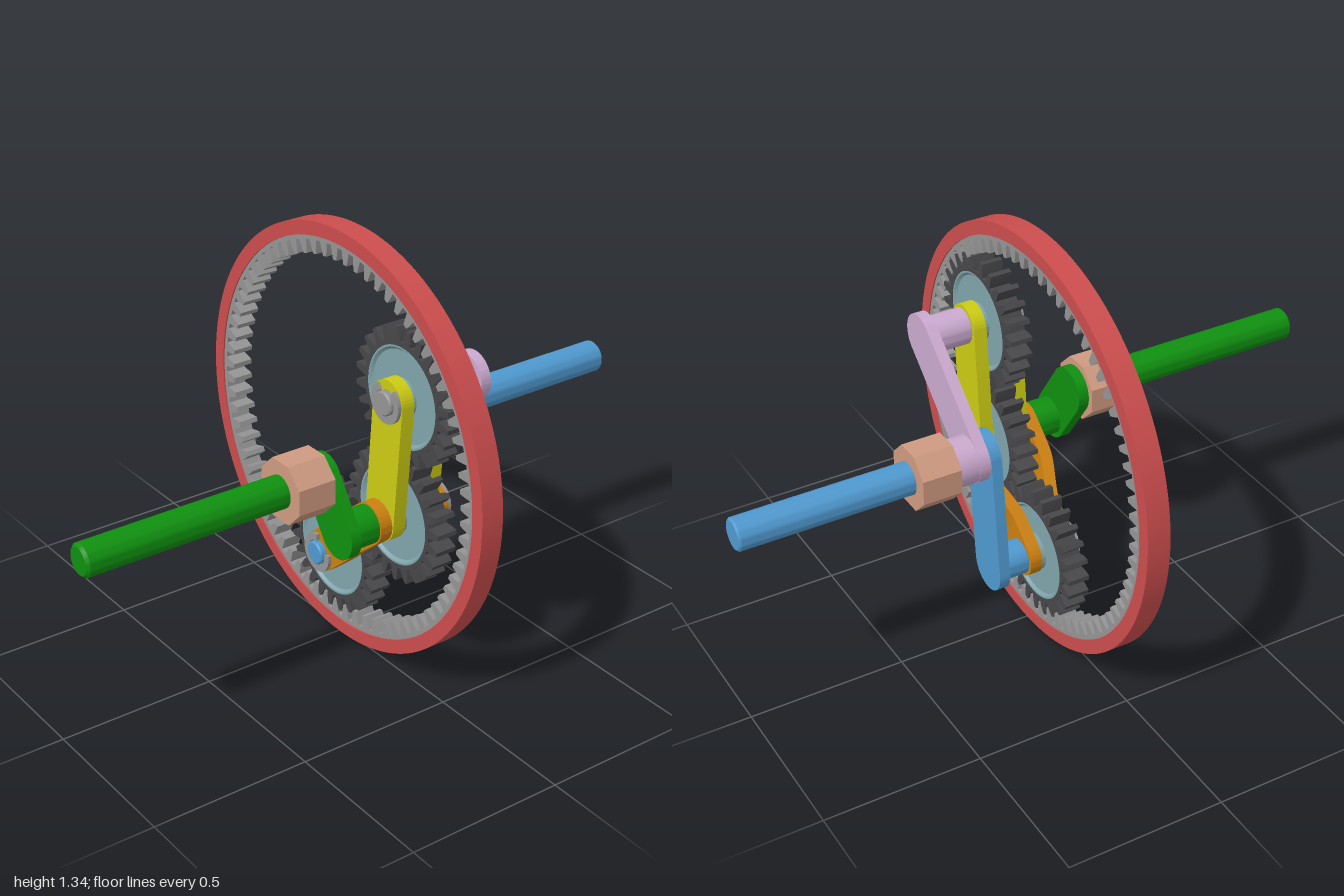
import * as THREE from 'three';
import { toCreasedNormals } from 'three/addons/utils/BufferGeometryUtils.js';

const paint = (name, color) => {
  const m = new THREE.MeshStandardMaterial({ color });
  m.name = name;
  return m;
};

const RAD = Math.PI / 180;
const MID = -0.02; // centre plane of the gears

export function createModel() {
  const red = paint('rim red', 0xcc4d4d);
  const grey = paint('steel grey', 0x949494);
  const dark = paint('gear charcoal', 0x47474a);
  const teal = paint('web teal', 0x80a5ac);
  const yellow = paint('link yellow', 0xcccc14);
  const orange = paint('link orange', 0xcc800f);
  const blue = paint('shaft blue', 0x4f99cf);
  const green = paint('shaft green', 0x0f900f);
  const pink = paint('crank pink', 0xcba9cf);
  const copper = paint('nut copper', 0xcf9a80);

  const model = new THREE.Group();
  model.name = 'planetaryMechanism';

  const add = (name, geo, mat, x = 0, y = 0, z = 0, crease = 0.5) => {
    const mesh = new THREE.Mesh(toCreasedNormals(geo, crease), mat);
    mesh.name = name;
    mesh.position.set(x, y, z);
    model.add(mesh);
    return mesh;
  };
  const extrude = (shape, depth) =>
    new THREE.ExtrudeGeometry(shape, { depth, bevelEnabled: false, curveSegments: 48 });
  const circle = (r) => new THREE.Shape().absarc(0, 0, r, 0, Math.PI * 2, false);

  // Round bar along z with small chamfers at both ends
  const bar = (name, [x, y], r, z0, z1, mat, c = 0.005) => {
    const pts = [[0, z0], [r - c, z0], [r, z0 + c], [r, z1 - c], [r - c, z1], [0, z1]];
    const geo = new THREE.LatheGeometry(pts.map((p) => new THREE.Vector2(...p)), 40);
    add(name, geo.rotateX(Math.PI / 2), mat, x, y);
  };

  // Flat arm with rounded ends between two pivots
  const arm = (name, p, q, r, z0, z1, mat) => {
    const len = Math.hypot(q[0] - p[0], q[1] - p[1]);
    const s = new THREE.Shape();
    s.absarc(0, 0, r, Math.PI / 2, Math.PI * 1.5, false);
    s.absarc(len, 0, r, -Math.PI / 2, Math.PI / 2, false);
    const mesh = add(name, extrude(s, z1 - z0), mat, p[0], p[1], z0);
    mesh.rotation.z = Math.atan2(q[1] - p[1], q[0] - p[0]);
  };

  // Toothed outline: rows of [radius, half width as fraction of pitch]
  const teeth = (path, n, phase, rTip, rRoot, wTip, wRoot) => {
    const pitch = (Math.PI * 2) / n;
    const rMid = (rTip + rRoot) / 2;
    const wMid = wTip * 0.4 + wRoot * 0.6;
    const pts = [];
    for (let i = 0; i < n; i++) {
      for (const [r, f] of [[rRoot, -wRoot], [rMid, -wMid], [rTip, -wTip],
        [rTip, wTip], [rMid, wMid], [rRoot, wRoot]]) {
        const a = phase + (i + f) * pitch;
        pts.push(new THREE.Vector2(r * Math.cos(a), r * Math.sin(a)));
      }
    }
    return path.setFromPoints(pts);
  };

  const hub = [0, 0.67];          // main axis
  const offAxis = [0.166, 0.675]; // green shaft axis
  const A = [0.296, 0.928];       // upper gear
  const B = [0.262, 0.534];       // middle gear
  const C = [-0.04, 0.283];       // lower gear

  // Outer rim and internal ring gear
  const rim = new THREE.Shape().absarc(0, 0, 0.67, 0, Math.PI * 2, false);
  rim.holes.push(new THREE.Path().absarc(0, 0, 0.626, 0, Math.PI * 2, true));
  const rimGeo = new THREE.ExtrudeGeometry(rim, { depth: 0.074, bevelEnabled: false, curveSegments: 96 });
  add('outerRim', rimGeo, red, ...hub, MID - 0.037);
  const ring = new THREE.Shape().absarc(0, 0, 0.627, 0, Math.PI * 2, false);
  ring.holes.push(teeth(new THREE.Path(), 72, 2.5 * RAD, 0.57, 0.612, 0.15, 0.32));
  add('ringGear', extrude(ring, 0.066), grey, ...hub, MID - 0.033);

  // Three planet gears with recessed webs
  const gears = [['upper', A, 37.8], ['middle', B, 94.3], ['lower', C, 266.8]];
  for (const [name, p, phase] of gears) {
    const gear = teeth(new THREE.Shape(), 24, phase * RAD, 0.213, 0.17, 0.13, 0.33);
    gear.holes.push(new THREE.Path().absarc(0, 0, 0.156, 0, Math.PI * 2, true));
    add(name + 'GearTeeth', extrude(gear, 0.07), dark, ...p, MID - 0.035);
    const web = [[0, -0.026], [0.142, -0.026], [0.15, -0.034], [0.157, -0.034],
      [0.157, 0.034], [0.15, 0.034], [0.142, 0.026], [0, 0.026]];
    const webGeo = new THREE.LatheGeometry(web.map((v) => new THREE.Vector2(...v)), 48);
    add(name + 'GearWeb', webGeo.rotateX(Math.PI / 2), teal, ...p, MID);
    add(name + 'GearHub', extrude(circle(0.06), 0.08), teal, ...p, MID - 0.04);
  }

  // Straight links, front and back
  arm('frontStraightLink', A, B, 0.067, 0.019, 0.062, yellow);
  arm('backStraightLink', A, B, 0.067, -0.102, -0.059, yellow);

  // Bent links step outwards over the straight links at the middle gear
  const dx = B[0] - C[0];
  const dy = B[1] - C[1];
  const len = Math.hypot(dx, dy);
  const thick = 0.04;
  const step = (t) => 0.043 * THREE.MathUtils.smoothstep(t, 0.22, 0.74);
  for (const side of [1, -1]) {
    const label = side > 0 ? 'front' : 'back';
    const inner = [];
    const outer = [];
    for (let i = 0; i <= 24; i++) {
      const z = 0.041 + step(i / 24);
      inner.push(new THREE.Vector2((i / 24) * len, side * z));
      outer.push(new THREE.Vector2((i / 24) * len, side * (z + thick)));
    }
    const profile = new THREE.Shape(inner.concat(outer.reverse()));
    const strip = extrude(profile, 0.13).translate(0, 0, -0.065).rotateX(Math.PI / 2);
    const mesh = add(label + 'BentLink', strip, orange, C[0], C[1], MID);
    mesh.rotation.z = Math.atan2(dy, dx);
    for (const [p, off, end] of [[C, 0, 'Lower'], [B, 0.043, 'Upper']]) {
      const near = 0.041 + off;
      const z0 = side > 0 ? MID + near : MID - near - thick;
      add(label + 'BentLink' + end + 'Eye', extrude(circle(0.065), thick), orange, ...p, z0);
    }
  }

  // Open retaining clips on the pin ends
  const clip = (name, p, z, gapAngle) => {
    const half = 38 * RAD;
    const s = new THREE.Shape();
    s.absarc(0, 0, 0.063, half, Math.PI * 2 - half, false);
    s.absarc(0, 0, 0.041, Math.PI * 2 - half, half, true);
    add(name, extrude(s, 0.011), grey, ...p, z).rotation.z = gapAngle * RAD;
  };
  clip('upperClip', A, 0.062, 90);
  clip('lowerClip', C, 0.062, 50);
  clip('middleClip', B, -0.156, -60);

  // Pins through the gears
  bar('upperPin', A, 0.038, -0.12, 0.082, grey);
  bar('lowerPin', C, 0.038, -0.12, 0.082, blue);
  bar('middlePin', B, 0.038, -0.162, 0.12, green);

  // Green shaft and crank
  arm('greenCrankArm', offAxis, B, 0.076, 0.182, 0.217, green);
  bar('greenCrankBoss', B, 0.06, 0.103, 0.185, green, 0.001);
  bar('greenShaft', offAxis, 0.051, 0.2, 1, green, 0.009);

  // Blue shaft and crank
  arm('blueCrankArm', hub, C, 0.076, -0.215, -0.18, blue);
  bar('blueCrankBoss', C, 0.056, -0.185, -0.102, blue, 0.001);
  bar('blueShaft', hub, 0.051, -1, -0.2, blue, 0.006);

  // Pink crank
  arm('pinkCrankArm', hub, A, 0.076, -0.252, -0.217, pink);
  bar('pinkCrankBoss', A, 0.057, -0.22, -0.102, pink, 0.001);
  bar('pinkCollar', hub, 0.075, -0.325, -0.23, pink, 0.001);

  // Eight-sided bearing blocks on both shafts
  const octagon = new THREE.Shape();
  for (let i = 0; i < 8; i++) {
    const a = (i + 0.5) * 45 * RAD;
    const r = 0.094 / Math.cos(22.5 * RAD);
    octagon[i ? 'lineTo' : 'moveTo'](r * Math.cos(a), r * Math.sin(a));
  }
  add('frontBearing', extrude(octagon, 0.126), copper, ...offAxis, 0.217, 0.3);
  add('backBearing', extrude(octagon, 0.126), copper, ...hub, -0.449, 0.3);

  return model;
}
